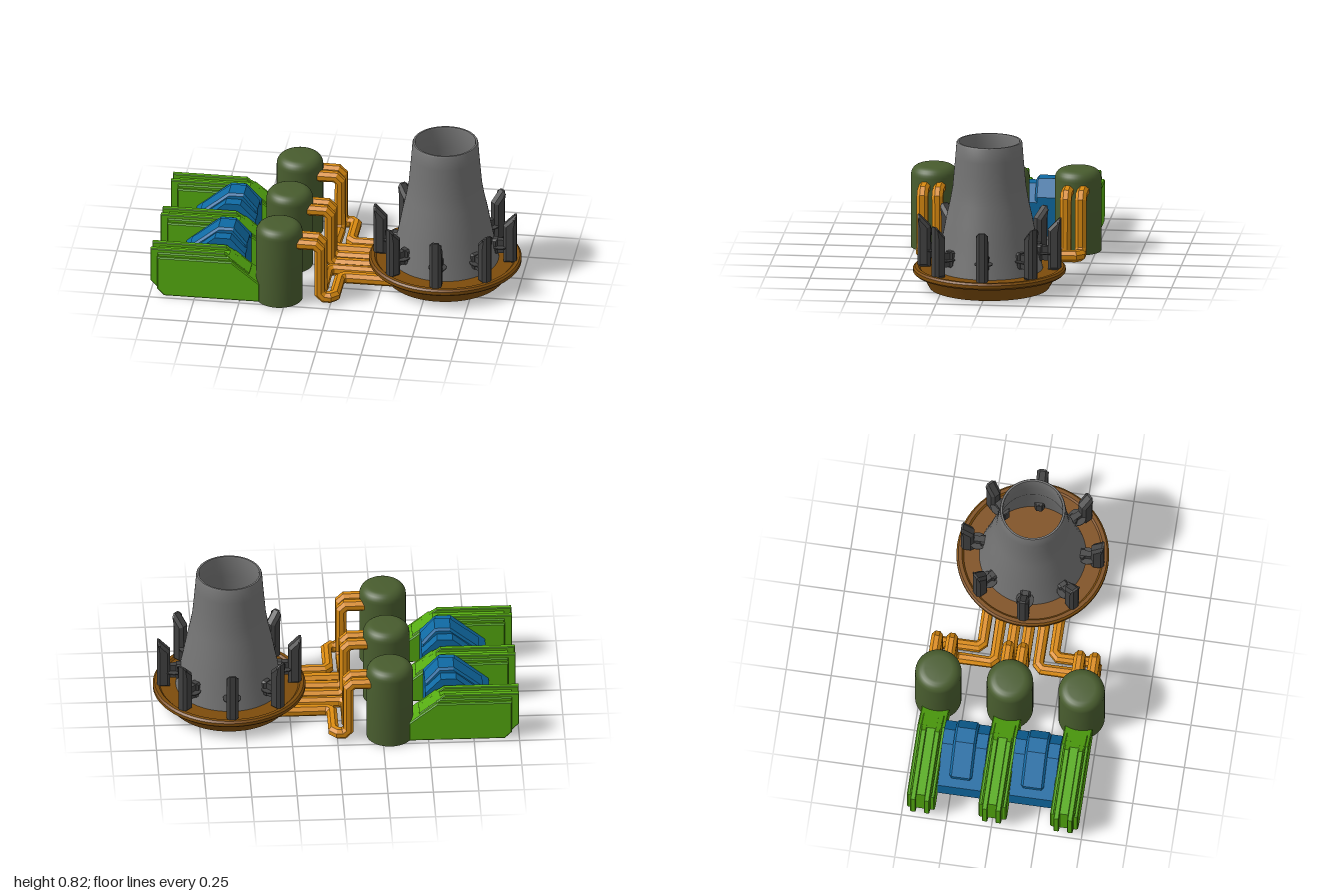
import * as THREE from 'three';
import { toCreasedNormals } from 'three/addons/utils/BufferGeometryUtils.js';

const mat = (color) => new THREE.MeshStandardMaterial({ color, side: THREE.DoubleSide });
const GREEN = mat(0x55ab10), BLUE = mat(0x0f6aa3), ORANGE = mat(0xdb8b10), BROWN = mat(0x7d4c0b);
const OLIVE = mat(0x485c2e), GREY = mat(0x737373), DARK = mat(0x424242);

const TOWER_X = 0.575;

function add(parent, name, geometry, material, x = 0, y = 0, z = 0) {
  const mesh = new THREE.Mesh(geometry, material);
  mesh.name = name;
  mesh.position.set(x, y, z);
  parent.add(mesh);
  return mesh;
}

// Side profile in x/y, given thickness in z and centred, with chamfered edges
function slab(points, depth, bevel) {
  const shape = new THREE.Shape(points.map((p) => new THREE.Vector2(...p)));
  const geo = new THREE.ExtrudeGeometry(shape, {
    depth: depth - 2 * bevel, bevelEnabled: bevel > 0, bevelSegments: 1,
    bevelSize: bevel, bevelThickness: bevel, bevelOffset: -bevel,
  });
  return geo.translate(0, 0, bevel - depth / 2);
}

function lathe(points, segments, crease = 0.5) {
  const geo = new THREE.LatheGeometry(points.map((p) => new THREE.Vector2(...p)), segments);
  return toCreasedNormals(geo, crease);
}

// Octagonal pipe swept along a path whose corners are chamfered
function pipe(corners, radius, cut) {
  const pts = corners.map((c) => new THREE.Vector3(...c));
  const path = [pts[0]];
  for (let i = 1; i < pts.length - 1; i++) {
    for (const other of [pts[i - 1], pts[i + 1]]) {
      path.push(pts[i].clone().add(other.clone().sub(pts[i]).setLength(cut)));
    }
  }
  path.push(pts[pts.length - 1]);

  const dir = (i) => path[i + 1].clone().sub(path[i]).normalize();
  const last = path.length - 1, sides = 8, pos = [], index = [];
  let prev = dir(0), u = new THREE.Vector3(0, 1, 0);
  path.forEach((p, i) => {
    const t = i === 0 ? dir(0) : i === last ? dir(last - 1) : dir(i - 1).add(dir(i)).normalize();
    u.applyQuaternion(new THREE.Quaternion().setFromUnitVectors(prev, t));
    const v = t.clone().cross(u);
    prev = t;
    for (let k = 0; k < sides; k++) {
      const a = ((k + 0.5) / sides) * Math.PI * 2;
      const q = p.clone().addScaledVector(u, Math.cos(a) * radius).addScaledVector(v, Math.sin(a) * radius);
      pos.push(q.x, q.y, q.z);
      if (i < last) {
        const a0 = i * sides + k, b0 = i * sides + (k + 1) % sides;
        index.push(a0, b0, b0 + sides, a0, b0 + sides, a0 + sides);
      }
    }
  });
  const geo = new THREE.BufferGeometry();
  geo.setAttribute('position', new THREE.Float32BufferAttribute(pos, 3));
  geo.setIndex(index);
  const flat = geo.toNonIndexed();
  flat.computeVertexNormals();
  return flat;
}

function createTower() {
  const tower = new THREE.Group();
  tower.name = 'coolingTower';
  tower.position.x = TOWER_X;

  // Dish base with a rounded rim
  add(tower, 'dishBase', lathe([
    [0, 0], [0.33, 0], [0.375, 0.08], [0.41, 0.08], [0.42, 0.09], [0.42, 0.108],
    [0.41, 0.118], [0.39, 0.118], [0.38, 0.108], [0, 0.108],
  ], 64), BROWN);

  // Hollow chimney: outer wall, lip, inner wall
  add(tower, 'chimney', lathe([
    [0.295, 0.105], [0.275, 0.2], [0.255, 0.3], [0.236, 0.4], [0.216, 0.49], [0.202, 0.57],
    [0.194, 0.66], [0.187, 0.74], [0.181, 0.818], [0.177, 0.825], [0.167, 0.825],
    [0.164, 0.815], [0.175, 0.69], [0.19, 0.55], [0.225, 0.4], [0.28, 0.108],
  ], 64), GREY);

  // Ring of eight upright fins, each clamped to the chimney
  const finGeo = slab([[0.325, 0.105], [0.397, 0.105], [0.397, 0.397], [0.385, 0.397], [0.325, 0.335]], 0.064, 0.016);
  for (let i = 0; i < 8; i++) {
    const fin = new THREE.Group();
    fin.name = 'fin' + (i + 1);
    fin.rotation.y = (i * Math.PI) / 4;
    add(fin, 'finBlade', finGeo, DARK);
    add(fin, 'finArm', new THREE.BoxGeometry(0.1, 0.08, 0.032), DARK, 0.285, 0.2, 0);
    add(fin, 'finFoot', slab([[0.24, 0.155], [0.292, 0.155], [0.292, 0.245], [0.24, 0.245]], 0.056, 0.01), DARK);
    add(fin, 'finPlate', new THREE.CylinderGeometry(0.05, 0.05, 0.006, 16), DARK, 0.305, 0.2, 0);
    tower.add(fin);
  }
  return tower;
}

function createUnit(z) {
  const unit = new THREE.Group();
  unit.name = 'powerUnit';
  unit.position.z = z;

  // Green housing with two taller ribs
  add(unit, 'housing', slab([
    [-0.96, 0.04], [-0.92, 0], [-0.39, 0], [-0.39, 0.112], [-0.545, 0.235], [-0.96, 0.235],
  ], 0.155, 0.006), GREEN);
  add(unit, 'housingCore', slab([
    [-0.96, 0.06], [-0.92, 0.01], [-0.45, 0.01], [-0.45, 0.165], [-0.565, 0.255], [-0.96, 0.255],
  ], 0.12, 0.006), GREEN);
  for (const s of [-1, 1]) {
    add(unit, 'housingRib', slab([
      [-1, 0.08], [-0.925, 0], [-0.45, 0], [-0.45, 0.165], [-0.59, 0.275], [-1, 0.275],
    ], 0.03, 0.004), GREEN, 0, 0, s * 0.038);
  }

  // Round-shouldered tank
  const profile = [[0, 0], [0.128, 0]];
  for (let i = 0; i <= 6; i++) {
    const a = (i / 6) * Math.PI / 2;
    profile.push([0.073 + 0.055 * Math.cos(a), 0.41 + 0.055 * Math.sin(a)]);
  }
  profile.push([0, 0.465]);
  add(unit, 'tank', lathe(profile, 48), OLIVE, -0.29);
  return unit;
}

export function createModel() {
  const model = new THREE.Group();
  model.name = 'powerPlant';
  model.add(createTower());

  for (const z of [-0.398, 0, 0.398]) model.add(createUnit(z));

  for (const s of [-1, 1]) {
    // Blue bridge between neighbouring housings, with a raised panel
    add(model, 'bridge', slab([
      [-0.85, 0.02], [-0.49, 0.02], [-0.49, 0.21], [-0.575, 0.3], [-0.66, 0.3], [-0.85, 0.14],
    ], 0.25, 0), BLUE, 0, 0, s * 0.199);
    add(model, 'bridgePanel', slab([
      [-0.81, 0.12], [-0.49, 0.12], [-0.49, 0.24], [-0.565, 0.33], [-0.65, 0.33], [-0.81, 0.2],
    ], 0.125, 0.012), BLUE, 0, 0, s * 0.199);

    // Pipes: one straight, two stepping inward to run side by side under the dish
    const top = 0.363, low = 0.042, dropX = -0.06, startX = -0.22, endX = 0.32;
    const runs = [
      { z: 0.04 },
      { z: 0.355, turnX: dropX, endZ: 0.12 },
      { z: 0.438, turnX: 0.02, endZ: 0.2 },
    ];
    for (const { z, turnX, endZ } of runs) {
      const path = [[startX, top, s * z], [dropX, top, s * z], [dropX, low, s * z]];
      if (endZ) {
        if (turnX !== dropX) path.push([turnX, low, s * z]);
        path.push([turnX, low, s * endZ], [endX, low, s * endZ]);
      } else {
        path.push([endX, low, s * z]);
      }
      add(model, 'pipe', pipe(path, 0.0335, 0.025), ORANGE);
    }
  }
  return model;
}
